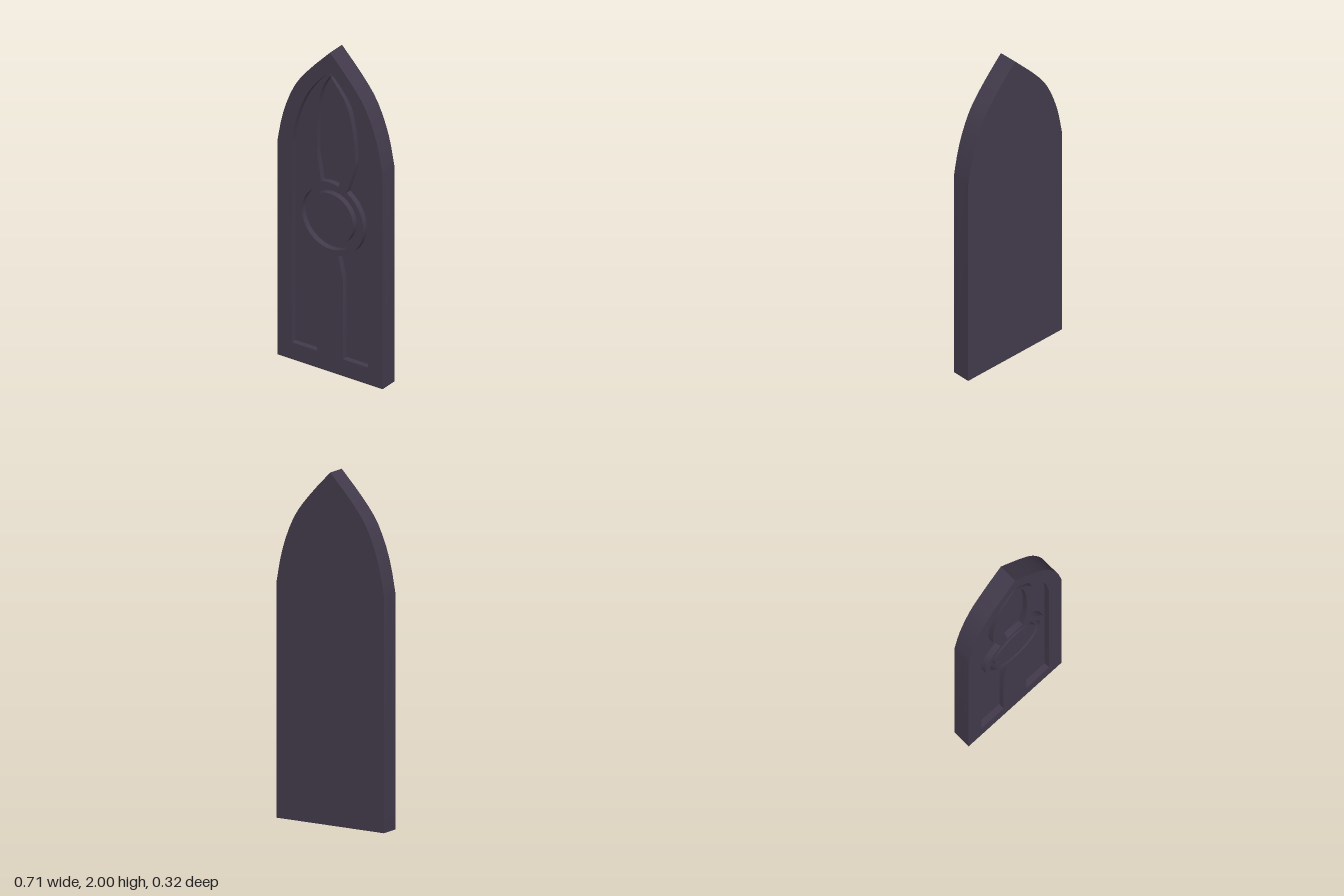
import * as THREE from 'three';
import { toCreasedNormals } from 'three/addons/utils/BufferGeometryUtils.js';

const V = (x, y) => new THREE.Vector2(x, y);
const HALF_THICK = 0.0575, RELIEF = 0.035;
const RING_Y = 0.96, RING_R = 0.225, GROOVE_R = 0.19, DISC_R = 0.156;

// Smooth curve through a few [x, y] points
const curve = (pts, n = 12) => new THREE.SplineCurve(pts.map(p => V(...p))).getPoints(n);
const mirror = pts => pts.map(p => V(-p.x, p.y)).reverse();

// Points around the ring, from angle a to angle b
function arc(a, b, n) {
  return Array.from({ length: n + 1 }, (_, i) => {
    const t = a + (b - a) * i / n;
    return V(Math.cos(t) * RING_R, RING_Y + Math.sin(t) * RING_R);
  });
}

// Pointed arch outline of the slab
function slabShape() {
  const side = curve([[0.3565, 1.34], [0.317, 1.53], [0.243, 1.715], [0.141, 1.852], [0, 2]]);
  return new THREE.Shape([V(-0.3565, 0), V(0.3565, 0), ...side, ...mirror(side).slice(1)]);
}

// Sunken panel on the +x side, between the frame and the tracery
function sidePanel() {
  const frame = curve([[0.259, 1.34], [0.233, 1.5], [0.178, 1.65], [0.122, 1.745], [0.057, 1.825], [0.003, 1.875]]);
  const rib = curve([[0.008, 1.845], [0.11, 1.71], [0.158, 1.53], [0.172, 1.34]]);
  const ring = arc(Math.atan2(0.195, 0.112), Math.atan2(-0.218, 0.056), 28);
  return [V(0.088, 0.105), V(0.259, 0.105), ...frame, ...rib, ...ring, V(0.088, 0.6)];
}

// Sunken lancet between the two ribs above the ring
function lancet() {
  const side = curve([[0.088, 1.34], [0.087, 1.555], [0.06, 1.74], [0.002, 1.85]]);
  const a = Math.acos(0.06 / RING_R);
  return [...arc(Math.PI - a, a, 6), ...side, ...mirror(side)];
}

function extrude(shape, depth, z) {
  const g = new THREE.ExtrudeGeometry(shape, { depth, bevelEnabled: false, curveSegments: 24 });
  g.translate(0, 0, z);
  return toCreasedNormals(g, 0.4);
}

export function createModel() {
  const stone = new THREE.MeshStandardMaterial({ color: 0x423a4b });
  stone.name = 'dark stone';
  const model = new THREE.Group();
  model.name = 'archedSlab';
  const add = (name, geometry) => {
    const mesh = new THREE.Mesh(geometry, stone);
    mesh.name = name;
    model.add(mesh);
  };

  // Solid back, whose front face is the floor of the sunken panels
  add('slabBack', extrude(slabShape(), 2 * HALF_THICK - RELIEF, -HALF_THICK));

  // Raised frame, centre bar, ribs and ring, cut as one layer
  const tracery = slabShape();
  const panel = sidePanel();
  tracery.holes.push(
    new THREE.Path(panel),
    new THREE.Path(mirror(panel)),
    new THREE.Path(lancet()),
    new THREE.Path().absarc(0, RING_Y, GROOVE_R, 0, Math.PI * 2)
  );
  add('tracery', extrude(tracery, RELIEF, HALF_THICK - RELIEF));

  // Round boss inside the ring
  const disc = new THREE.Shape().absarc(0, RING_Y, DISC_R, 0, Math.PI * 2);
  add('centreDisc', extrude(disc, RELIEF, HALF_THICK - RELIEF));

  // The slab stands slightly turned
  model.rotation.y = THREE.MathUtils.degToRad(-17.5);
  return model;
}
